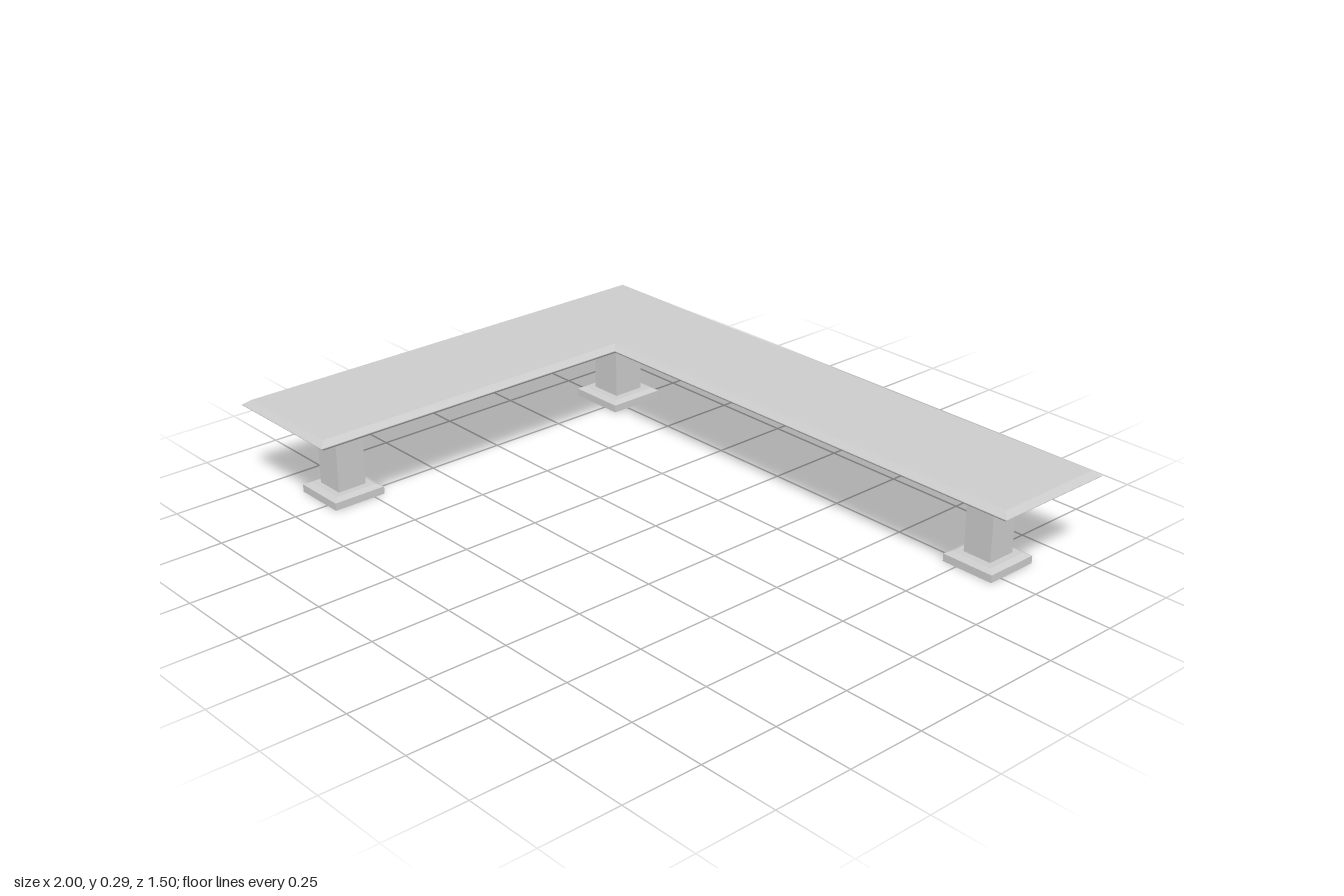
import * as THREE from 'three';

const material = new THREE.MeshStandardMaterial({ color: 0xcccccc, flatShading: true, side: THREE.DoubleSide });

// Four-sided lathe: profile points are [half width, height]
function squareLathe(name, profile) {
  const points = profile.map(([half, y]) => new THREE.Vector2(half * Math.SQRT2, y));
  const geometry = new THREE.LatheGeometry(points, 4).rotateY(Math.PI / 4);
  const mesh = new THREE.Mesh(geometry, material);
  mesh.name = name;
  return mesh;
}

// L-shaped slab with a pointed, bevelled rim
function createTop() {
  const outline = [[-1, -0.748], [1, -0.753], [1, -0.345], [-0.578, -0.345], [-0.578, 0.75], [-1, 0.75]];
  const shape = new THREE.Shape(outline.map(([x, z]) => new THREE.Vector2(x, -z)));
  const geometry = new THREE.ExtrudeGeometry(shape, {
    depth: 0.002, bevelThickness: 0.015, bevelSize: 0.02, bevelOffset: -0.02, bevelSegments: 1,
  });
  geometry.rotateX(-Math.PI / 2).translate(0, 0.277, 0);
  const mesh = new THREE.Mesh(geometry, material);
  mesh.name = 'benchTop';
  return mesh;
}

// Hollow square post on a chamfered foot that is recessed underneath
function createLeg(name, x, z, footHalf, postHalf) {
  const leg = new THREE.Group();
  leg.name = name;
  const recess = footHalf * 0.7;
  leg.add(
    squareLathe('post', [[postHalf, 0.012], [postHalf, 0.265]]),
    squareLathe('foot', [
      [postHalf, 0.012], [recess, 0.012], [recess, 0], [footHalf, 0],
      [footHalf, 0.024], [footHalf - 0.018, 0.033], [postHalf, 0.033],
    ]),
  );
  leg.position.set(x, 0, z);
  return leg;
}

export function createModel() {
  const model = new THREE.Group();
  model.name = 'cornerBench';
  model.add(
    createTop(),
    createLeg('cornerLeg', -0.79, -0.54, 0.095, 0.053),
    createLeg('frontLeg', -0.79, 0.552, 0.087, 0.048),
    createLeg('sideLeg', 0.79, -0.546, 0.088, 0.048),
  );
  return model;
}
